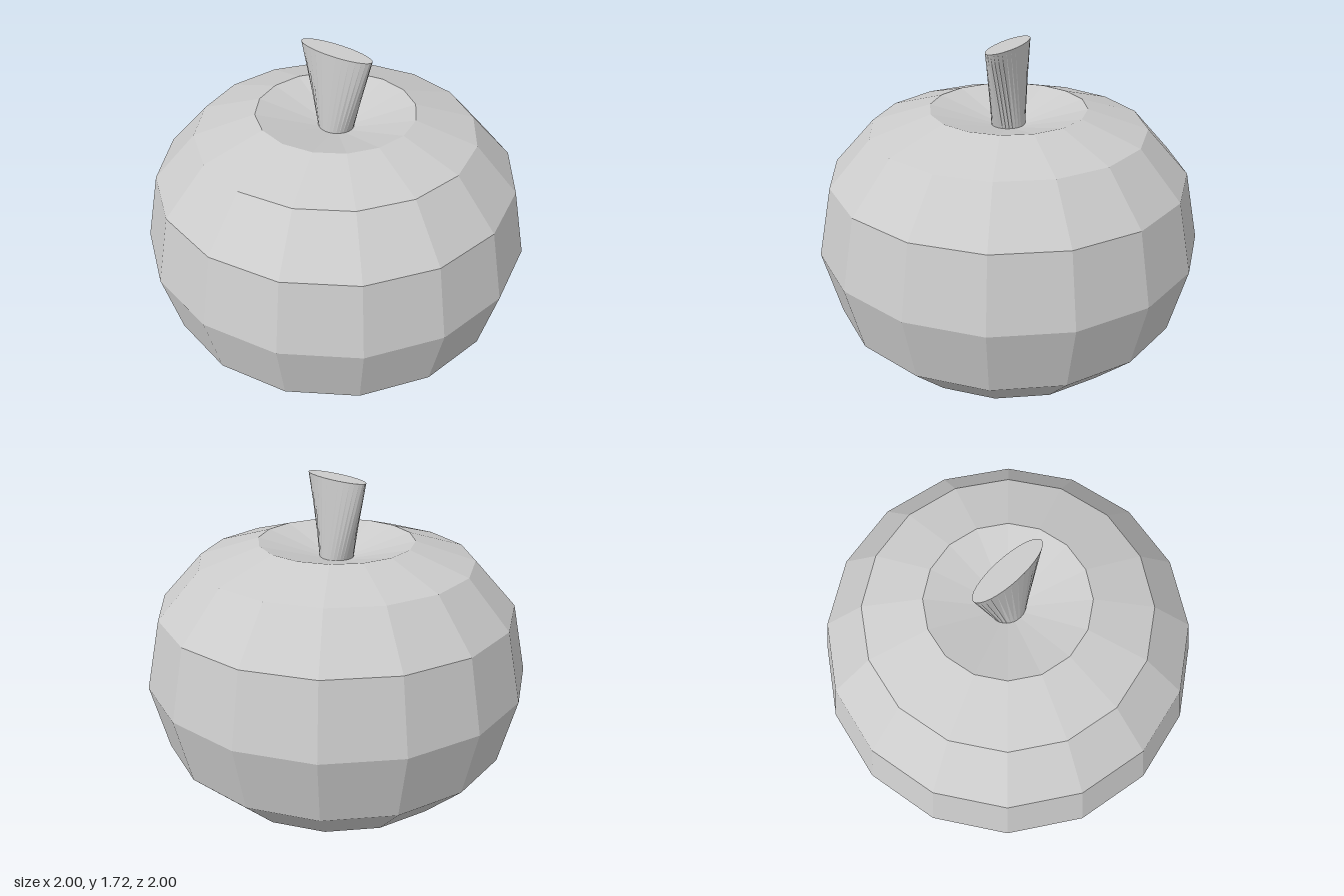
import * as THREE from 'three';

export function createModel() {
  const group = new THREE.Group();
  const material = new THREE.MeshStandardMaterial({ color: 0xcccccc, flatShading: true });

  // Squashed sixteen-sided body with a dimple above and a recess below
  const profile = [
    [0, 0.13], [0.23, 0.02], [0.49, 0], [0.7, 0.12], [0.92, 0.355], [1, 0.71],
    [0.92, 1.07], [0.705, 1.305], [0.4, 1.4], [0, 1.29],
  ].map(([r, y]) => new THREE.Vector2(r, y));
  const body = new THREE.Mesh(new THREE.LatheGeometry(profile, 16), material);
  body.name = 'body';
  group.add(body);

  // Stem: round at the base, flaring to a narrow ellipse at the top
  const bottom = 1.285, top = 1.715, baseRadius = 0.085;
  const stemGeometry = new THREE.CylinderGeometry(1, 1, top - bottom, 32);
  stemGeometry.translate(0, (top + bottom) / 2, 0);
  const pos = stemGeometry.attributes.position;
  for (let i = 0; i < pos.count; i++) {
    const t = (pos.getY(i) - bottom) / (top - bottom);
    pos.setX(i, pos.getX(i) * THREE.MathUtils.lerp(baseRadius, 0.06, t));
    pos.setZ(i, pos.getZ(i) * THREE.MathUtils.lerp(baseRadius, 0.207, t));
  }
  stemGeometry.computeVertexNormals();
  const stem = new THREE.Mesh(stemGeometry, material);
  stem.name = 'stem';
  group.add(stem);

  return group;
}
